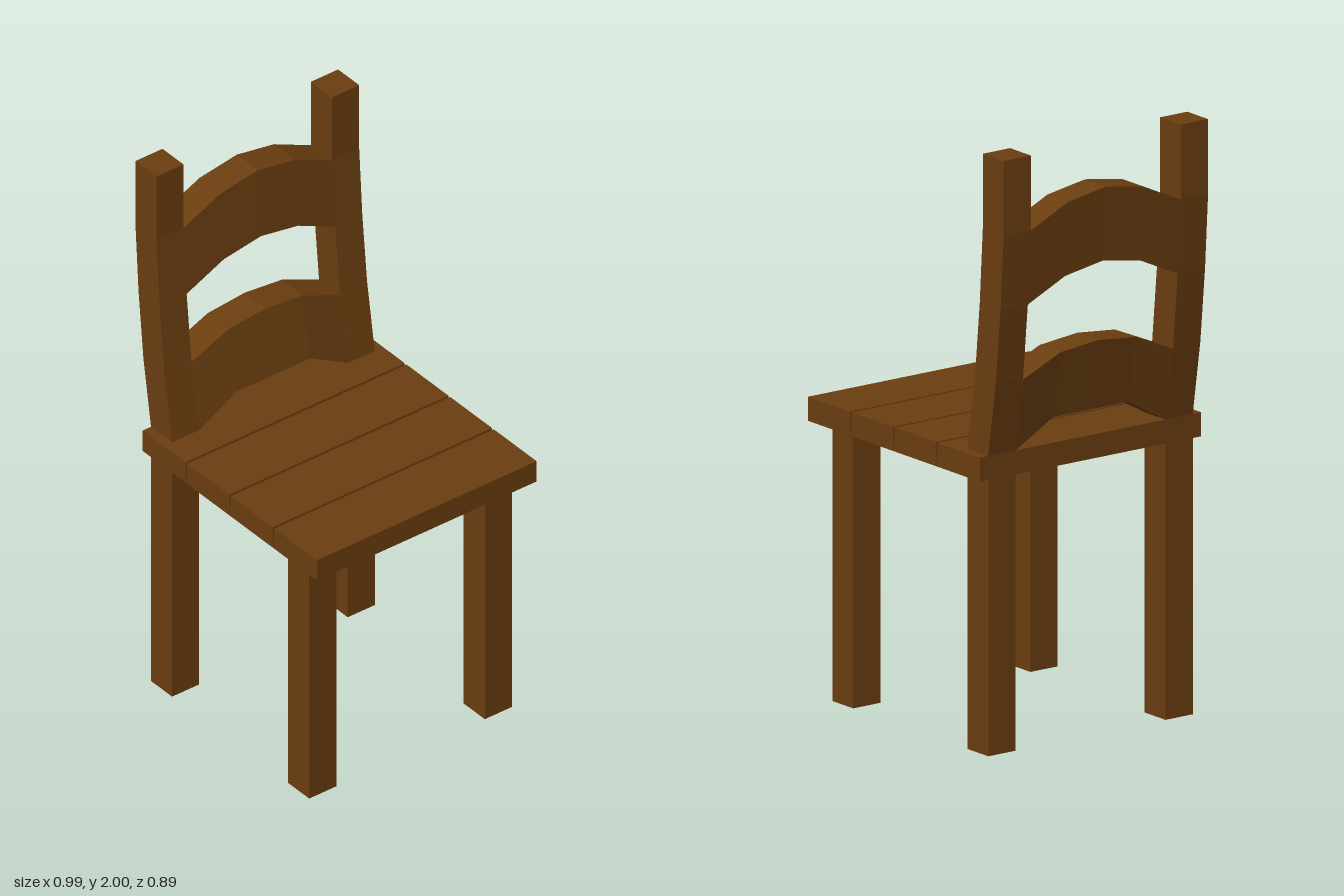
import * as THREE from 'three';

const wood = new THREE.MeshStandardMaterial({ color: 0x6b3e10, flatShading: true });

// Skin a run of four-cornered sections (counterclockwise about the run direction) and cap both ends.
function loft(sections) {
  const index = [];
  const last = (sections.length - 1) * 4;
  for (let s = 0; s < last; s += 4) {
    for (let k = 0; k < 4; k++) {
      const n = (k + 1) % 4;
      index.push(s + k, s + n, s + 4 + n, s + k, s + 4 + n, s + 4 + k);
    }
  }
  index.push(0, 2, 1, 0, 3, 2, last, last + 1, last + 2, last, last + 2, last + 3);
  const indexed = new THREE.BufferGeometry();
  indexed.setAttribute('position', new THREE.Float32BufferAttribute(sections.flat(2), 3));
  indexed.setIndex(index);
  const geometry = indexed.toNonIndexed();
  geometry.computeVertexNormals();
  return geometry;
}

export function createModel() {
  const chair = new THREE.Group();
  chair.name = 'chair';
  const add = (name, geometry, x = 0, y = 0, z = 0) => {
    const mesh = new THREE.Mesh(geometry, wood);
    mesh.name = name;
    mesh.position.set(x, y, z);
    chair.add(mesh);
  };

  const T = 0.11; // thickness of legs, posts and slats
  const inner = 0.302, outer = 0.412;

  // Rear face of the backrest: [height, x]
  const curve = [[1, -0.415], [1.25, -0.455], [1.5, -0.48], [1.75, -0.496], [2, -0.496]];

  // Legs and bent back posts, one pair on each side
  for (const side of [-1, 1]) {
    const z = side * (inner + outer) / 2;
    const leg = new THREE.BoxGeometry(T, 0.92, T);
    add('backLeg', leg, -0.36, 0.46, z);
    add('frontLeg', leg, 0.355, 0.46, z);
    add('backPost', loft(curve.map(([y, x]) => [
      [x, y, T / 2], [x + T, y, T / 2], [x + T, y, -T / 2], [x, y, -T / 2],
    ])), 0, 0, z);
  }

  // Seat planks, with narrow grooves that widen towards the top
  const x0 = -0.415, width = 0.2275;
  for (let i = 0; i < 4; i++) {
    const a = x0 + i * width, b = a + width;
    const left = i > 0 ? 1 : 0, right = i < 3 ? 1 : 0;
    add('seatPlank', loft([-0.446, 0.446].map((z) => [
      [a + left * 0.001, 0.92, z], [b - right * 0.001, 0.92, z],
      [b - right * 0.005, 1, z], [a + left * 0.005, 1, z],
    ])));
  }

  // Arched slats: sections rise towards the middle, keeping the lean of the posts
  const slat = (name, xBottom, xTop, heights) => {
    add(name, loft(heights.map(([yb, yt], i) => {
      const z = (i - 2) * inner / 2;
      return [[xBottom, yb, z], [xBottom + T, yb, z], [xTop + T, yt, z], [xTop, yt, z]];
    })));
  };
  slat('lowerSlat', -0.415, -0.455,
    [[1, 1.245], [1.085, 1.31], [1.085, 1.325], [1.085, 1.31], [1, 1.245]]);
  slat('upperSlat', -0.48, -0.496,
    [[1.5, 1.75], [1.57, 1.82], [1.595, 1.845], [1.57, 1.82], [1.5, 1.75]]);

  return chair;
}
